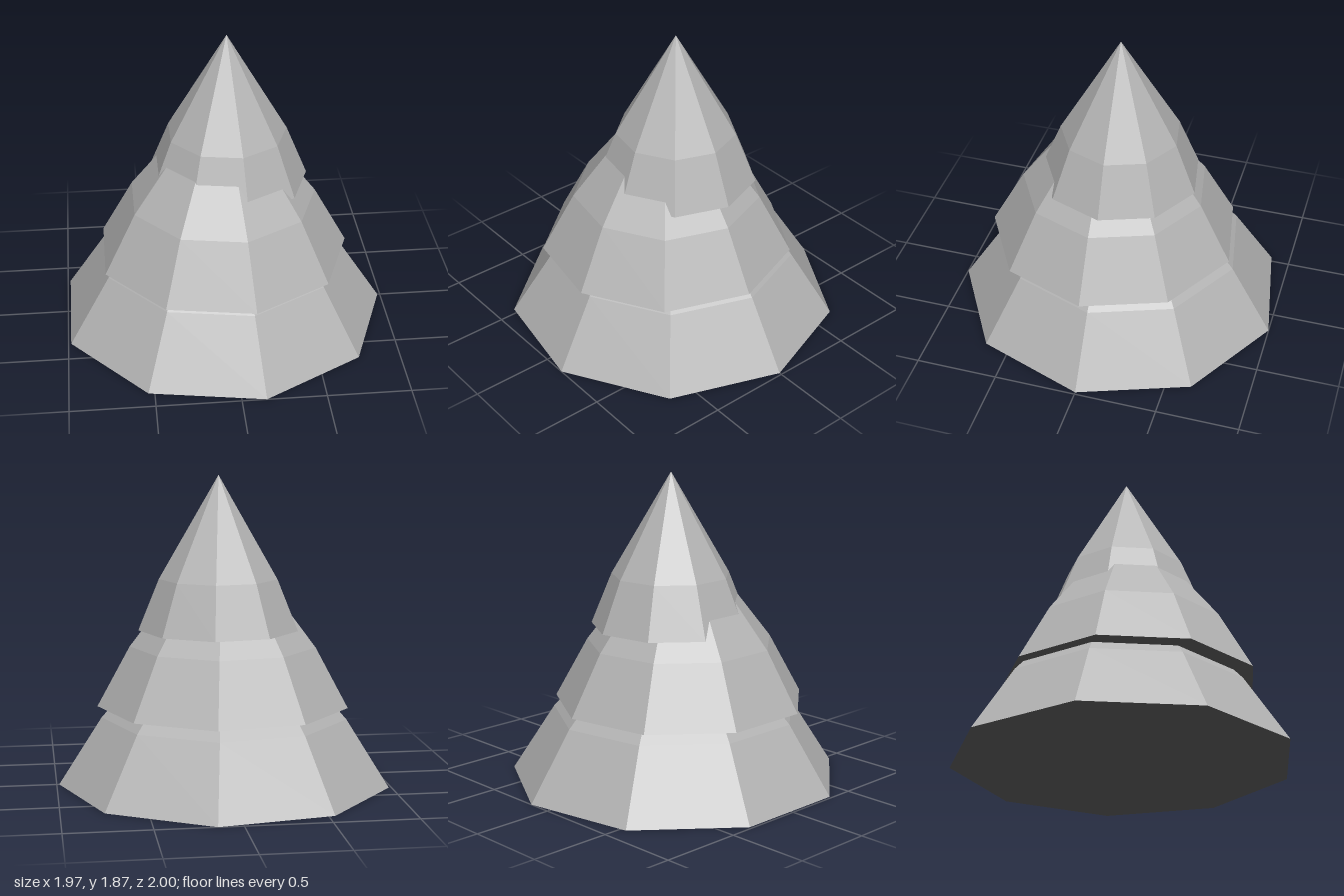
import * as THREE from 'three';

const SIDES = 9;

// Nine-sided shell turned from [radius, height] points, one corner towards +x
function turn(name, profile, material) {
  const points = profile.map(([r, y]) => new THREE.Vector2(r, y));
  const geometry = new THREE.LatheGeometry(points, SIDES, Math.PI / 2).toNonIndexed();
  geometry.computeVertexNormals();
  const mesh = new THREE.Mesh(geometry, material);
  mesh.name = name;
  return mesh;
}

function makeMaterial(name, color) {
  const material = new THREE.MeshStandardMaterial({ color, flatShading: true });
  material.name = name;
  return material;
}

export function createModel() {
  const tree = new THREE.Group();
  tree.name = 'coniferTree';

  const foliage = makeMaterial('lightGreyFoliage', 0xb3b3b3);
  const shade = makeMaterial('darkGreyUnderside', 0x6a6a6a);

  // Three overlapping tiers, each slightly off the tree's axis
  const tiers = [
    { name: 'bottomTier', rim: [1.015, 0], bend: [0.752, 0.41], tip: 1.24, x: -0.03, z: 0 },
    { name: 'middleTier', rim: [0.772, 0.47], bend: [0.572, 0.835], tip: 1.575, x: -0.028, z: 0.045 },
    { name: 'topTier', rim: [0.488, 0.94], bend: [0.362, 1.25], tip: 1.87, x: 0.006, z: 0 },
  ];
  for (const { name, rim, bend, tip, x, z } of tiers) {
    const tier = new THREE.Group();
    tier.name = name;
    tier.position.set(x, 0, z);
    // steep lower flare and upper cone, closed by a flat darker underside
    tier.add(turn('foliage', [rim, bend, [0, tip]], foliage));
    tier.add(turn('underside', [[0, rim[1]], rim], shade));
    tree.add(tier);
  }
  return tree;
}
